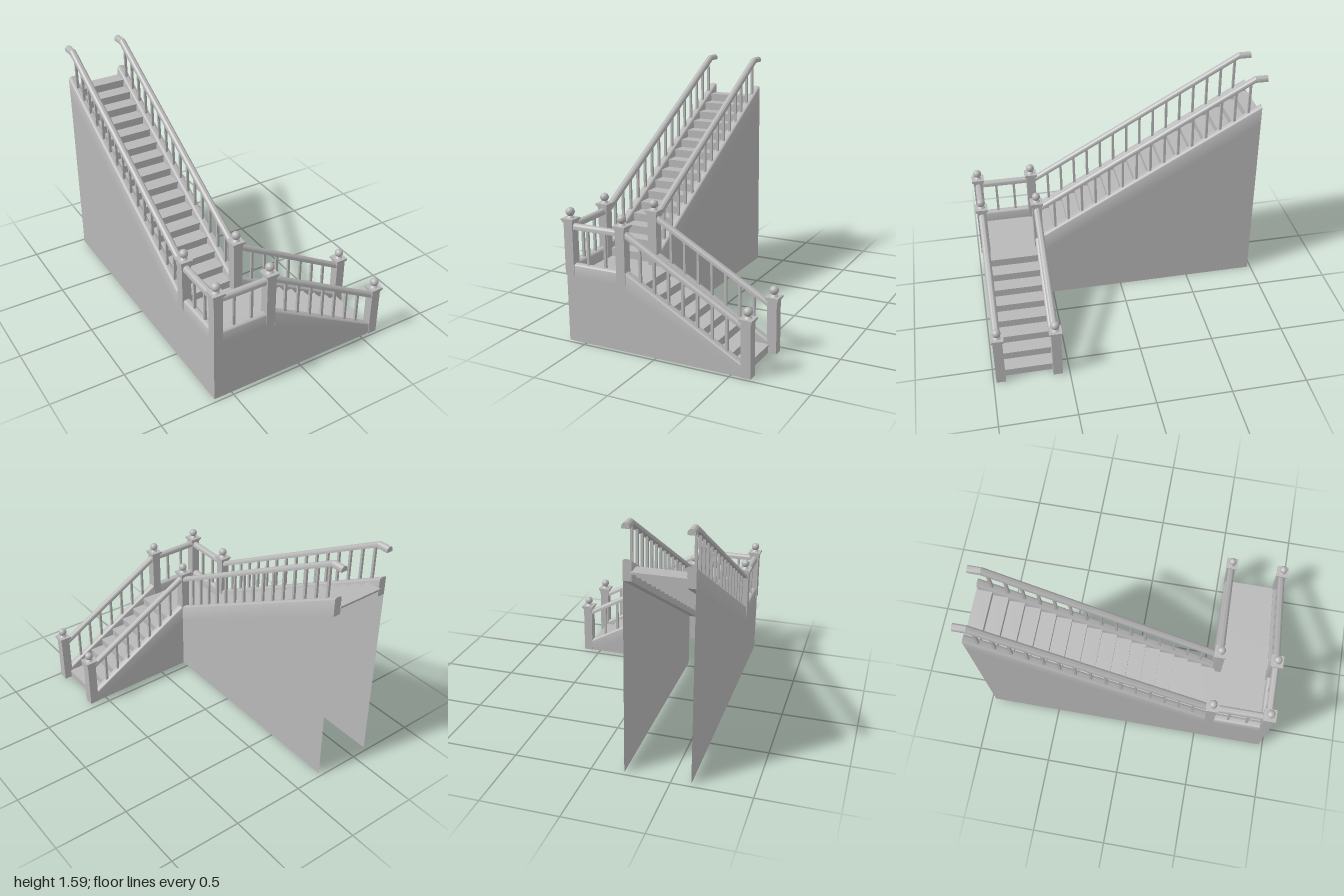
import * as THREE from 'three';
import { toCreasedNormals } from 'three/addons/utils/BufferGeometryUtils.js';

const SLOPE = 0.5625, RUN = 0.0964, RISE = 0.0542;
const LANDING = 0.436, CURB = 0.512;
const XL = -0.23, XR = -0.597;   // centre lines of the upper flight's sides
const ZF = 0.95, ZB = 0.577;     // centre lines of the lower flight's sides
const XB = 0.595;                // bottom posts

export function createModel() {
  const model = new THREE.Group();
  model.name = 'staircase';
  const grey = new THREE.MeshStandardMaterial({ color: 0xb8b8b8, side: THREE.DoubleSide });
  grey.name = 'grey';

  function add(parent, name, geo, x = 0, y = 0, z = 0) {
    const mesh = new THREE.Mesh(geo, grey);
    mesh.name = name;
    mesh.position.set(x, y, z);
    parent.add(mesh);
    return mesh;
  }
  const box = (parent, name, w, h, d, x, y, z) =>
    add(parent, name, new THREE.BoxGeometry(w, h, d), x, y, z);

  // Round-topped beam along x or z; y0 and y1 are the heights of its top line
  function beam(name, axis, a0, y0, a1, y1, cross, w, h, round) {
    const s = new THREE.Shape();
    s.moveTo(-w / 2, -h);
    s.lineTo(w / 2, -h);
    s.lineTo(w / 2, -round);
    s.absellipse(0, -round, w / 2, round, 0, Math.PI, false);
    s.closePath();
    const geo = new THREE.ExtrudeGeometry(s, { depth: a1 - a0, bevelEnabled: false, curveSegments: 10 });
    const p = geo.attributes.position;
    for (let i = 0; i < p.count; i++) {
      const y = p.getY(i) + y0 + (y1 - y0) * p.getZ(i) / (a1 - a0);
      p.setY(i, Math.max(0, y));
    }
    if (axis === 'x') geo.rotateY(Math.PI / 2);
    const pos = axis === 'x' ? [a0, 0, cross] : [cross, 0, a0];
    add(model, name, toCreasedNormals(geo, 0.7), ...pos);
  }
  const stringer = (name, ...args) => beam(name, ...args, 0.052, 0.13, 0.012);
  const curb = (name, ...args) => beam(name, ...args, 0.052, 0.09, 0.02);
  const rail = (name, ...args) => beam(name, ...args, 0.046, 0.036, 0.024);

  // Thin side wall drawn in (along, up)
  function wall(name, axis, points, cross) {
    const geo = new THREE.ShapeGeometry(new THREE.Shape(points.map(q => new THREE.Vector2(...q))));
    if (axis === 'z') geo.rotateY(-Math.PI / 2);
    add(model, name, geo, axis === 'z' ? cross : 0, 0, axis === 'z' ? 0 : cross);
  }

  // Newel post with cap and ball
  function post(x, y, z) {
    const g = new THREE.Group();
    g.name = 'newelPost';
    box(g, 'postShaft', 0.062, 0.34, 0.062, 0, 0.17, 0);
    box(g, 'capMoulding', 0.072, 0.012, 0.072, 0, 0.342, 0);
    box(g, 'cap', 0.084, 0.014, 0.084, 0, 0.354, 0);
    add(g, 'capNeck', new THREE.CylinderGeometry(0.013, 0.026, 0.014, 20), 0, 0.367, 0);
    add(g, 'ball', new THREE.SphereGeometry(0.028, 20, 14), 0, 0.399, 0);
    g.position.set(x, y, z);
    model.add(g);
  }
  for (const z of [ZF, ZB]) {
    post(XB, 0, z);
    post(XL, LANDING, z);
    post(XR, LANDING, z);
  }

  const baluster = (x, z, y0, y1) =>
    box(model, 'baluster', 0.016, y1 - y0, 0.016, x, (y0 + y1) / 2, z);

  // Lower flight: steps climb towards -x
  const lowerMid = (ZF + ZB) / 2, lowerWidth = ZF - ZB - 0.04;
  for (let i = 0; i < 8; i++) {
    const x = 0.575 - i * RUN, y = (i + 1) * LANDING / 8;
    box(model, 'riser', 0.006, LANDING / 8 - 0.002, lowerWidth, x - 0.005, y - LANDING / 16 - 0.001, lowerMid);
    if (i < 7) box(model, 'tread', RUN + 0.004, 0.014, lowerWidth, x - RUN / 2, y - 0.007, lowerMid);
  }
  for (const z of [ZF, ZB]) {
    stringer('lowerStringer', 'x', -0.2, CURB, 0.566, 0.081, z);
    rail('lowerHandrail', 'x', -0.205, 0.764, 0.575, 0.325, z);
    for (let i = 0; i < 7; i++) {
      const x = -0.11 + i * 0.0955, y = CURB - (x + 0.2) * SLOPE;
      baluster(x, z, y - 0.015, y + 0.225);
    }
  }

  // Landing floor, curbs, rails and balusters
  box(model, 'landingFloor', 0.52, 0.016, 0.42, -0.36, LANDING - 0.008, 0.765);
  curb('frontCurb', 'x', -0.622, CURB, -0.2, CURB, ZF);
  curb('sideCurb', 'z', 0.555, CURB, 0.975, CURB, XR);
  rail('frontLandingRail', 'x', XR, 0.766, XL, 0.766, ZF);
  rail('sideLandingRail', 'z', ZB, 0.766, ZF, 0.766, XR);
  for (const t of [1 / 3, 2 / 3]) {
    baluster(XR + (XL - XR) * t, ZF, 0.49, 0.74);
    baluster(XR, ZB + (ZF - ZB) * t, 0.49, 0.74);
  }

  // Upper flight: steps climb towards -z
  const upperMid = (XL + XR) / 2, upperWidth = XL - XR - 0.04;
  for (let i = 0; i < 16; i++) {
    const z = 0.56 - i * RUN, y = LANDING + (i + 1) * RISE;
    box(model, 'riser', upperWidth, RISE - 0.002, 0.006, upperMid, y - RISE / 2 - 0.001, z - 0.005);
    box(model, 'tread', upperWidth, 0.014, RUN + 0.004, upperMid, y - 0.007, z - RUN / 2);
  }
  for (const x of [XL, XR]) {
    stringer('upperStringer', 'z', -0.975, 1.374, 0.56, CURB, x);
    rail('upperHandrail', 'z', -0.915, 1.592, 0.56, 0.762, x);
    rail('railEnd', 'z', -1, 1.592, -0.915, 1.592, x);
    for (let i = 0; i < 15; i++) {
      const z = 0.455 - i * 0.096, y = CURB + (0.56 - z) * SLOPE;
      baluster(x, z, y - 0.015, y + 0.225);
    }
  }

  // Thin walls closing the sides below the stringers
  const drop = 0.015;
  wall('frontWall', 'x', [[-0.623, 0], [0.566, 0], [0.566, 0.081 - drop],
    [-0.2, CURB - drop], [-0.623, CURB - drop]], ZF + 0.025);
  wall('innerLowerWall', 'x', [[-0.205, 0], [0.566, 0], [0.566, 0.081 - drop],
    [-0.2, CURB - drop], [-0.205, CURB - drop]], ZB - 0.025);
  wall('outerSideWall', 'z', [[-0.975, 0], [0.975, 0], [0.975, CURB - 0.03],
    [0.56, CURB - 0.03], [-0.975, 1.374 - drop]], XR - 0.025);
  wall('innerSideWall', 'z', [[-0.975, 0], [0.552, 0], [0.552, CURB - drop],
    [-0.975, 1.374 - drop]], XL + 0.025);

  return model;
}
